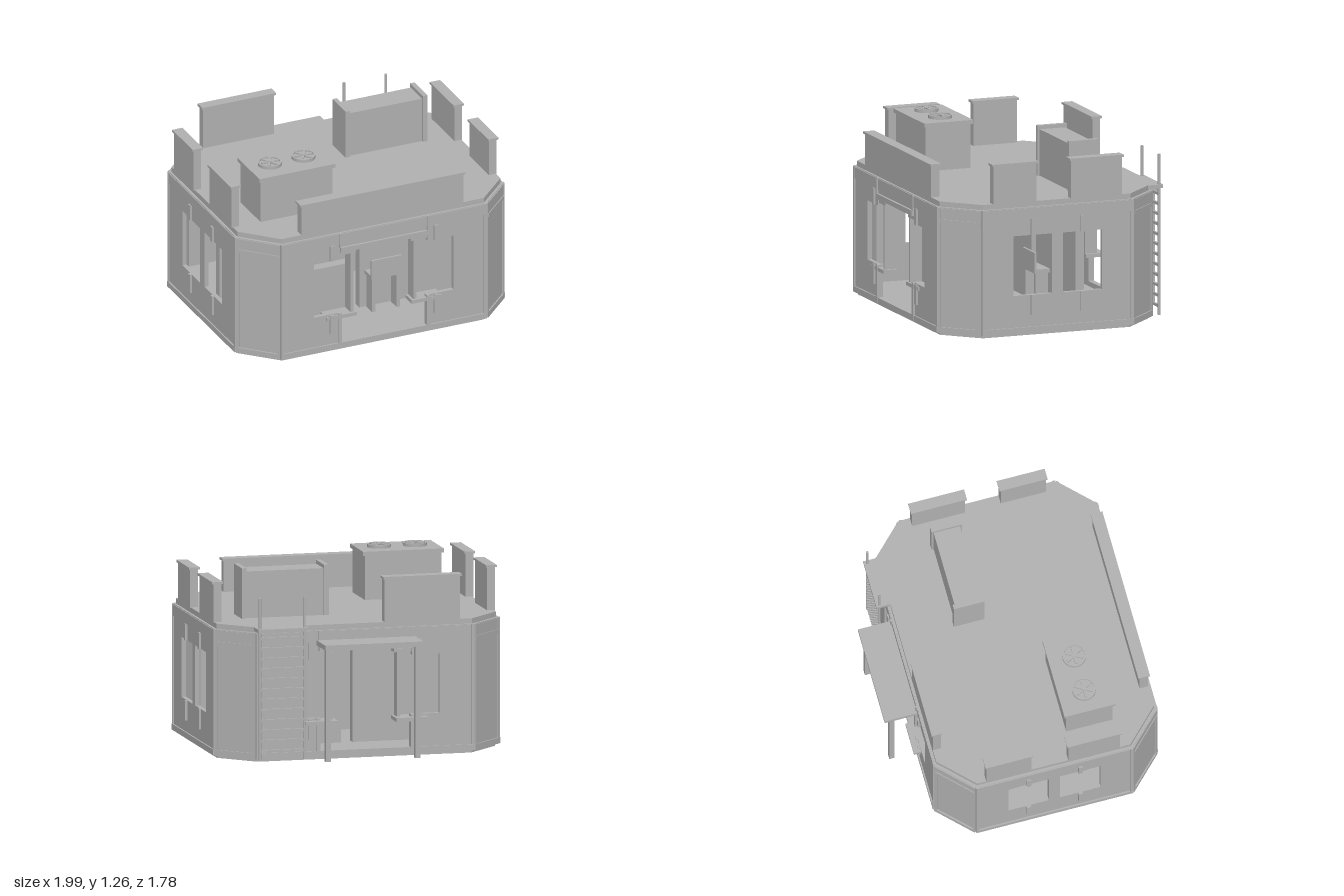
import * as THREE from 'three';

const grey = new THREE.MeshStandardMaterial({ color: 0xb0b0b0 });
grey.name = 'plainGrey';

const MID_Z = 0.105; // centre of the building body

function add(parent, name, geometry) {
  const mesh = new THREE.Mesh(geometry, grey);
  mesh.name = name;
  parent.add(mesh);
  return mesh;
}

// box given by its limits on each axis
function box(parent, name, x0, x1, y0, y1, z0, z1) {
  const mesh = add(parent, name, new THREE.BoxGeometry(x1 - x0, y1 - y0, z1 - z0));
  mesh.position.set((x0 + x1) / 2, (y0 + y1) / 2, (z0 + z1) / 2);
  return mesh;
}

function group(parent, name) {
  const g = new THREE.Group();
  g.name = name;
  parent.add(g);
  return g;
}

// eight-sided slab
function slab(parent, name, y0, y1, hx, hz, cut) {
  const s = new THREE.Shape([
    [hx - cut, -hz], [hx, -hz + cut], [hx, hz - cut], [hx - cut, hz],
    [-hx + cut, hz], [-hx, hz - cut], [-hx, -hz + cut], [-hx + cut, -hz],
  ].map(([x, y]) => new THREE.Vector2(x, y)));
  const geo = new THREE.ExtrudeGeometry(s, { depth: y1 - y0, bevelEnabled: false });
  geo.rotateX(-Math.PI / 2);
  add(parent, name, geo).position.set(0, y0, MID_Z);
}

// wall facing local +z, with openings and raised edging
function wall(parent, name, length, holes, x, z, angle) {
  const g = group(parent, name);
  g.position.set(x, 0, z);
  g.rotation.y = angle;
  const h = length / 2;
  const toPoints = list => list.map(([px, py]) => new THREE.Vector2(px, py));
  const s = new THREE.Shape(toPoints([[-h, 0.02], [h, 0.02], [h, 0.87], [-h, 0.87]]));
  for (const hole of holes) s.holes.push(new THREE.Path(toPoints(hole)));
  const geo = new THREE.ExtrudeGeometry(s, { depth: 0.03, bevelEnabled: false });
  geo.translate(0, 0, -0.03);
  add(g, 'wallPanel', geo);
  box(g, 'baseBand', -h, h, 0.02, 0.06, -0.005, 0.01);
  box(g, 'topBand', -h, h, 0.79, 0.865, -0.005, 0.006);
  for (const side of [-1, 1]) {
    const c = side * (h - 0.01);
    box(g, 'endPost', c - 0.01, c + 0.01, 0.02, 0.87, -0.005, 0.008);
  }
  return g;
}

// upright strips above and below a window
function windowStrips(parent, x) {
  box(parent, 'upperStrip', x - 0.015, x + 0.015, 0.68, 0.79, 0, 0.016);
  box(parent, 'lowerStrip', x - 0.015, x + 0.015, 0.14, 0.275, 0, 0.016);
}

// doorway joined to a window on each side
function doorWall(parent, name, z, angle, sillDepth) {
  const right = [[0.32, 0.06], [0.32, 0.28], [0.51, 0.28], [0.51, 0.68], [0.32, 0.68], [0.32, 0.73]];
  const left = right.map(([x, y]) => [-x, y]).reverse();
  const g = wall(parent, name, 1.5, [[...right, ...left]], 0, z, angle);
  box(g, 'doorLintel', -0.32, 0.32, 0.73, 0.765, -0.02, 0.016);
  for (const s of [-1, 1]) {
    const b = (n, x0, x1, ...rest) =>
      box(g, n, Math.min(s * x0, s * x1), Math.max(s * x0, s * x1), ...rest);
    windowStrips(g, s * 0.38);
    b('doorPost', 0.31, 0.335, 0.02, 0.28, -0.03, 0.012);
    b('lintelPost', 0.312, 0.325, 0.765, 0.87, -0.005, 0.014);
    b('windowJamb', 0.22, 0.24, 0.26, 0.7, -0.09, -0.005);
    b('windowSill', 0.2, 0.42, 0.24, 0.265, -0.09, sillDepth);
    b('windowHead', 0.2, 0.42, 0.7, 0.725, -0.09, -0.005);
  }
}

function sideWall(parent, name, x, angle) {
  const holes = [-0.178, 0.178].map(c =>
    [[c - 0.14, 0.275], [c + 0.14, 0.275], [c + 0.14, 0.68], [c - 0.14, 0.68]]);
  const g = wall(parent, name, 1.08, holes, x, MID_Z, angle);
  for (const c of [-0.178, 0.178]) windowStrips(g, c);
}

// low roof wall with a slightly wider cap
function parapet(parent, name, x0, x1, z0, z1, top) {
  const g = group(parent, name);
  box(g, 'parapetBody', x0 + 0.01, x1 - 0.01, 0.9, top - 0.015, z0 + 0.01, z1 - 0.01);
  box(g, 'parapetCap', x0, x1, top - 0.015, top, z0, z1);
}

// round fan with ring and six blades
function fan(parent, x, z, y) {
  const g = group(parent, 'roofFan');
  g.position.set(x, y, z);
  add(g, 'fanBase', new THREE.CylinderGeometry(0.08, 0.08, 0.012, 32)).position.y = 0.006;
  const ring = new THREE.Shape().absarc(0, 0, 0.08, 0, Math.PI * 2);
  ring.holes.push(new THREE.Path().absarc(0, 0, 0.068, 0, Math.PI * 2, true));
  const geo = new THREE.ExtrudeGeometry(ring, { depth: 0.01, bevelEnabled: false, curveSegments: 24 });
  geo.rotateX(-Math.PI / 2);
  add(g, 'fanRing', geo).position.y = 0.012;
  add(g, 'fanHub', new THREE.CylinderGeometry(0.016, 0.016, 0.018, 16)).position.y = 0.02;
  for (let i = 0; i < 6; i++) {
    const a = i * Math.PI / 3;
    const blade = add(g, 'fanBlade', new THREE.BoxGeometry(0.05, 0.012, 0.016));
    blade.position.set(Math.cos(a) * 0.037, 0.018, -Math.sin(a) * 0.037);
    blade.rotation.y = a;
  }
}

export function createModel() {
  const model = new THREE.Group();
  model.name = 'outpostBuilding';

  // floor and roof
  slab(model, 'floorSlab', 0, 0.025, 0.955, 0.745, 0.22);
  slab(model, 'roofSlab', 0.865, 0.905, 0.96, 0.75, 0.222);

  // walls
  doorWall(model, 'frontWall', 0.87, 0, 0.01);
  doorWall(model, 'backWall', -0.66, Math.PI, 0.05);
  sideWall(model, 'leftWall', 0.977, Math.PI / 2);
  sideWall(model, 'rightWall', -0.977, -Math.PI / 2);
  for (const sx of [-1, 1]) for (const sz of [-1, 1]) {
    const angle = Math.atan2(sx, sz);
    const g = wall(model, 'cornerWall', 0.312, [], sx * 0.8635, MID_Z + sz * 0.6525, angle);
    box(g, 'cornerRail', -0.15, 0.15, 0.765, 0.79, -0.005, 0.012);
  }

  // inside partitions, each with a narrow passage
  for (const s of [-1, 1]) for (const z of [0.36, -0.145]) {
    const x = s * 0.395;
    box(model, 'partition', x - 0.355, x + 0.355, 0.02, 0.87, z - 0.03, z + 0.03);
  }

  // furniture
  box(model, 'counter', -0.48, -0.06, 0.02, 0.41, 0.39, 0.46);
  const seats = [[0.19, 0.44], [0.19, -0.06]];
  for (const [x, z] of seats) {
    const chair = group(model, 'chair');
    box(chair, 'chairSeat', x - 0.11, x + 0.11, 0.27, 0.295, z - 0.05, z + 0.06);
    box(chair, 'chairBack', x - 0.11, x + 0.11, 0.295, 0.41, z + 0.045, z + 0.06);
    for (const s of [-1, 1])
      box(chair, 'chairLeg', x + s * 0.09 - 0.012, x + s * 0.09 + 0.012, 0.02, 0.27, z - 0.04, z + 0.05);
  }

  // roof walls
  parapet(model, 'frontParapet', -0.605, 0.6, 0.785, 0.865, 1.13);
  parapet(model, 'backParapet', -0.665, -0.125, -0.655, -0.58, 1.21);
  parapet(model, 'leftParapet', 0.9, 0.975, -0.37, 0.015, 1.175);
  parapet(model, 'leftParapet', 0.9, 0.975, 0.24, 0.57, 1.175);
  parapet(model, 'rightParapet', -0.98, -0.905, -0.37, -0.04, 1.21);
  parapet(model, 'rightParapet', -0.98, -0.905, 0.195, 0.57, 1.21);

  // cooling unit
  const unit = group(model, 'coolingUnit');
  box(unit, 'unitBody', -0.76, -0.235, 0.9, 1.205, 0.245, 0.565);
  box(unit, 'unitLid', -0.775, -0.22, 1.205, 1.232, 0.23, 0.58);
  fan(unit, -0.62, 0.405, 1.232);
  fan(unit, -0.375, 0.405, 1.232);

  // roof duct with raised ends
  const duct = group(model, 'roofDuct');
  box(duct, 'ductBody', 0.16, 0.735, 0.9, 1.22, -0.265, -0.085);
  for (const x of [0.15, 0.715]) box(duct, 'ductEnd', x, x + 0.033, 0.9, 1.245, -0.28, -0.07);

  // rear canopy on two posts
  const canopy = group(model, 'rearCanopy');
  box(canopy, 'canopyRoof', -0.34, 0.335, 0.772, 0.805, -0.89, -0.66);
  for (const x of [-0.31, 0.305])
    box(canopy, 'canopyPost', x - 0.017, x + 0.017, 0.015, 0.772, -0.855, -0.82);

  // ladder
  const ladder = group(model, 'ladder');
  box(ladder, 'ladderPlatform', 0.415, 0.755, 0.88, 0.905, -0.74, -0.63);
  for (const x of [0.433, 0.738]) {
    const rail = add(ladder, 'ladderRail', new THREE.CylinderGeometry(0.009, 0.009, 1.09, 12));
    rail.position.set(x, 0.565, -0.717);
  }
  for (let i = 0; i < 12; i++) {
    const y = 0.08 + i * 0.069;
    box(ladder, 'ladderRung', 0.433, 0.738, y - 0.009, y + 0.009, -0.724, -0.71);
  }
  return model;
}
